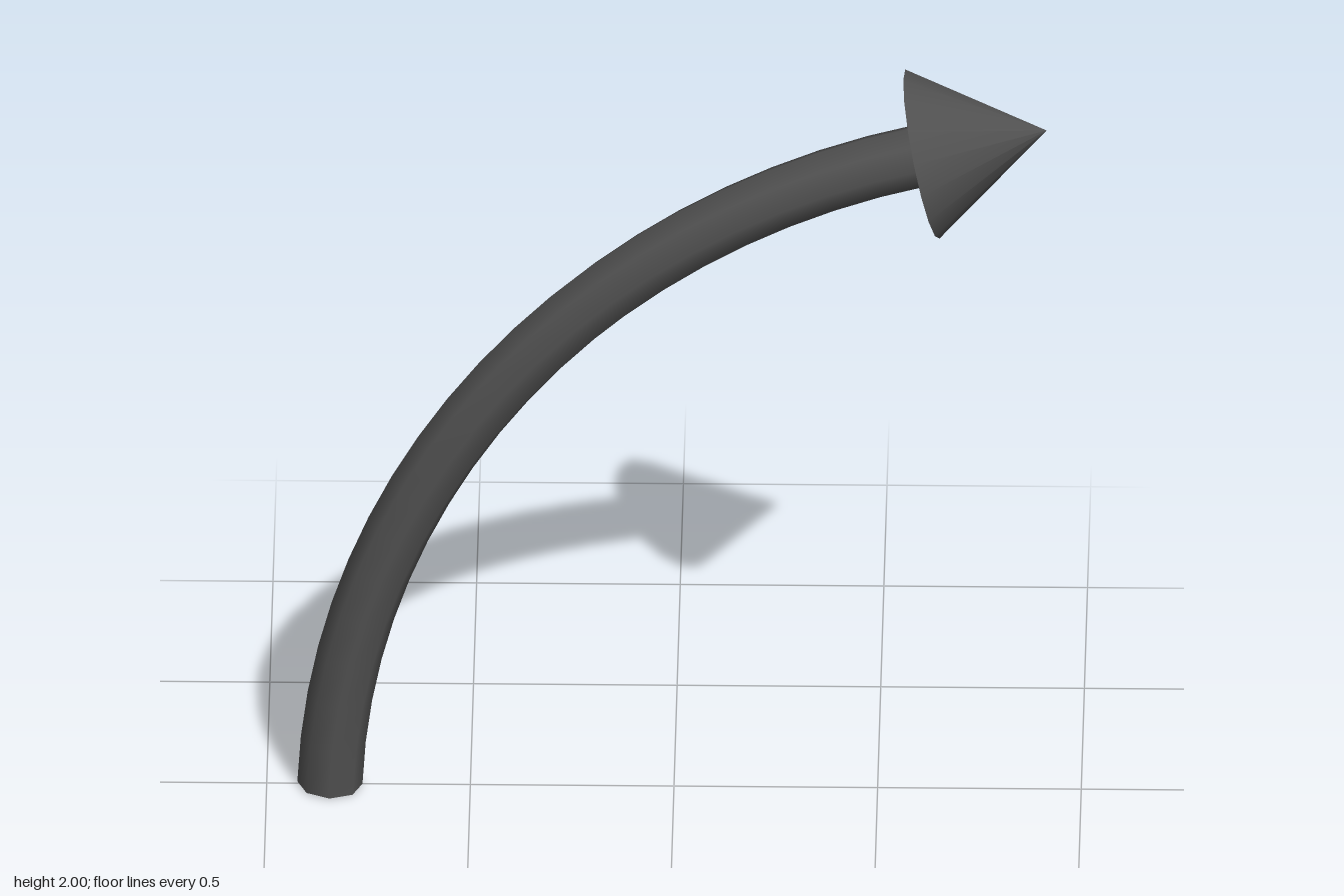
import * as THREE from 'three';

const material = new THREE.MeshStandardMaterial({ color: 0x505050 });

// Bends an upright cylinder clockwise along an arc in the xy plane.
function bendAlongArc(geometry, height, centre, radius, startDeg, endDeg) {
  const pos = geometry.attributes.position;
  const nor = geometry.attributes.normal;
  const axis = new THREE.Vector3(0, 0, 1);
  const n = new THREE.Vector3();
  for (let i = 0; i < pos.count; i++) {
    const t = pos.getY(i) / height + 0.5;
    const a = THREE.MathUtils.degToRad(startDeg + (endDeg - startDeg) * t);
    const r = radius - pos.getX(i);
    pos.setXY(i, centre.x + r * Math.cos(a), centre.y + r * Math.sin(a));
    n.fromBufferAttribute(nor, i).applyAxisAngle(axis, a - Math.PI);
    nor.setXYZ(i, n.x, n.y, n.z);
  }
  return geometry;
}

export function createModel() {
  const group = new THREE.Group();
  group.name = 'curvedArrow';

  // Shaft: eight-sided capped rod following a circular arc
  const length = 2.46;
  const shaft = new THREE.Mesh(
    bendAlongArc(
      new THREE.CylinderGeometry(0.08, 0.08, length, 8, 20),
      length, new THREE.Vector2(1.059, -0.063), 1.905, 178, 103.6
    ),
    material
  );
  shaft.name = 'shaft';
  group.add(shaft);

  // Head: cone whose base sits on the end of the shaft
  const base = new THREE.Vector3(0.61, 1.792, 0);
  const tip = new THREE.Vector3(0.915, 1.861, 0);
  const direction = tip.clone().sub(base);
  const head = new THREE.Mesh(
    new THREE.ConeGeometry(0.213, direction.length(), 16),
    material
  );
  head.name = 'arrowHead';
  head.position.copy(base).lerp(tip, 0.5);
  head.quaternion.setFromUnitVectors(new THREE.Vector3(0, 1, 0), direction.normalize());
  group.add(head);

  return group;
}
